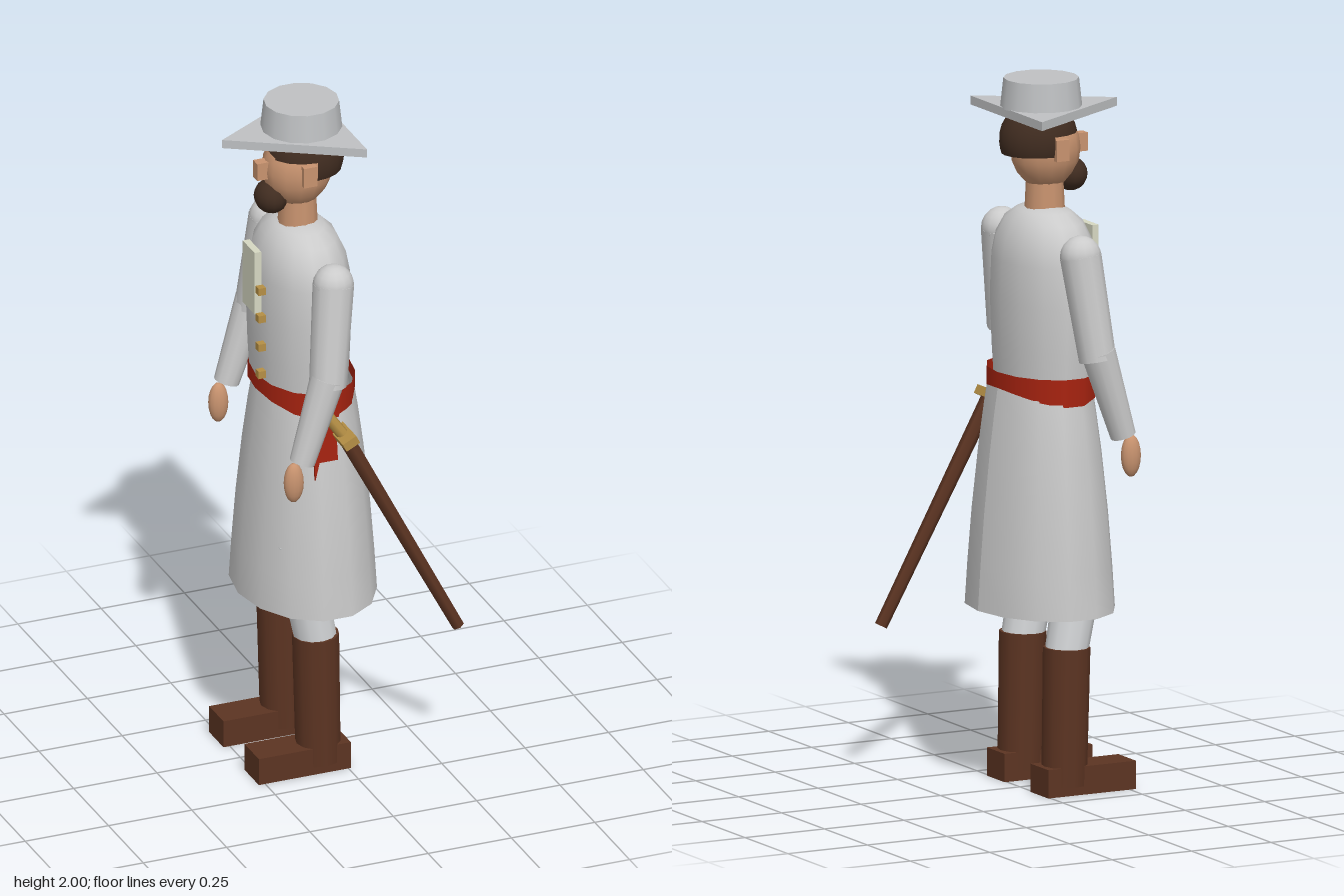
import * as THREE from 'three';

const mat = (name, color) => {
  const m = new THREE.MeshStandardMaterial({ color });
  m.name = name;
  return m;
};

export function createModel() {
  const coat = mat('coat grey', 0xcbcbcb);
  const hatGrey = mat('hat grey', 0xbfc1c3);
  const cloth = mat('trouser grey', 0xd6d8da);
  const skin = mat('skin', 0xc8936f);
  const hairBrown = mat('hair brown', 0x402c20);
  const leather = mat('boot leather', 0x5c3422);
  const red = mat('sash red', 0xa82310);
  const gold = mat('brass', 0xb58f45);
  const cream = mat('cream', 0xd6d8c2);
  // Open shells show their inner faces too
  for (const m of [coat, red, hairBrown]) m.side = THREE.DoubleSide;

  const model = new THREE.Group();
  model.name = 'figure';
  const V = (x, y, z) => new THREE.Vector3(x, y, z);

  const add = (name, geo, material, x = 0, y = 0, z = 0, sx = 1, sy = 1, sz = 1) => {
    const mesh = new THREE.Mesh(geo, material);
    mesh.name = name;
    mesh.position.set(x, y, z);
    mesh.scale.set(sx, sy, sz);
    model.add(mesh);
    return mesh;
  };
  const box = (name, material, x, y, z, w, h, d) =>
    add(name, new THREE.BoxGeometry(w, h, d), material, x, y, z);
  const ball = (name, material, x, y, z, rx, ry, rz) =>
    add(name, new THREE.SphereGeometry(1, 14, 10), material, x, y, z, rx, ry, rz);
  // Tapered cylinder from point a (radius ra) to point b (radius rb)
  const limb = (name, material, a, b, ra, rb, sides = 12) => {
    const dir = b.clone().sub(a);
    const mesh = add(name, new THREE.CylinderGeometry(rb, ra, dir.length(), sides), material);
    mesh.position.copy(a).add(b).multiplyScalar(0.5);
    mesh.quaternion.setFromUnitVectors(V(0, 1, 0), dir.normalize());
    return mesh;
  };
  // Oval body of revolution; profile rows are [radius across z, y], bottom to top
  const oval = (name, material, profile, x, depth) =>
    add(name, new THREE.LatheGeometry(profile.map(p => new THREE.Vector2(...p)), 14, Math.PI / 2),
      material, x, 0, 0, depth, 1, 1);

  // Coat: upper body and open flared skirt
  oval('coatBody', coat, [[0.187, 1.15], [0.195, 1.25], [0.201, 1.38], [0.195, 1.49],
    [0.179, 1.55], [0.145, 1.6], [0.1, 1.628], [0.05, 1.64], [0, 1.64]], -0.075, 0.675);
  const skirt = oval('coatSkirt', coat, [[0.261, 0.51], [0.254, 0.63], [0.242, 0.78],
    [0.222, 0.95], [0.203, 1.07], [0.187, 1.15]], -0.0625, 1);
  const sp = skirt.geometry.attributes.position;
  for (let i = 0; i < sp.count; i++) {
    // The front-to-back depth narrows faster than the width
    const t = (sp.getY(i) - 0.51) / 0.64;
    sp.setX(i, sp.getX(i) * (0.745 - 0.05 * t));
  }
  skirt.geometry.computeVertexNormals();

  // Sash band, its lower edge dipping at the hips
  const sash = oval('sash', red, [[0.198, 1.1], [0.198, 1.18]], -0.067, 0.7);
  const bp = sash.geometry.attributes.position;
  for (let i = 0; i < bp.count; i++) {
    if (bp.getY(i) < 1.15) bp.setY(i, 1.1 + 0.035 * (bp.getX(i) / 0.198) ** 2);
  }
  // Hanging sash end, lying against the skirt
  const tail = new THREE.Shape([[-0.12, 1.15], [-0.12, 0.935], [-0.105, 0.985], [-0.05, 0.985],
    [-0.05, 1.15]].map(p => new THREE.Vector2(...p)));
  const tailGeo = new THREE.ExtrudeGeometry(tail, { depth: 0.008, bevelEnabled: false });
  const tp = tailGeo.attributes.position;
  for (let i = 0; i < tp.count; i++) tp.setZ(i, tp.getZ(i) + 0.194 + (1.15 - tp.getY(i)) * 0.125);
  add('sashEnd', tailGeo, red);

  // Chest panel and row of buttons
  box('chestPanel', cream, -0.215, 1.48, 0, 0.02, 0.19, 0.085);
  for (const y of [1.47, 1.385, 1.297, 1.213]) box('button', gold, -0.217, y, 0.068, 0.022, 0.022, 0.022);

  // Arms and legs, mirrored
  for (const s of [1, -1]) {
    const side = s > 0 ? 'left' : 'right';
    const shoulder = V(-0.067, 1.535, s * 0.23);
    const elbow = V(-0.1, 1.245, s * 0.268);
    ball(side + 'Shoulder', coat, shoulder.x, shoulder.y, shoulder.z, 0.058, 0.058, 0.056);
    limb(side + 'UpperArm', coat, elbow, shoulder, 0.052, 0.058);
    limb(side + 'Forearm', coat, V(-0.178, 1.025, s * 0.272), V(-0.1, 1.27, s * 0.27), 0.036, 0.049);
    ball(side + 'Hand', skin, -0.203, 0.966, s * 0.271, 0.029, 0.06, 0.023);

    limb(side + 'Knee', cloth, V(-0.078, 0.4, s * 0.127), V(-0.106, 0.55, s * 0.125), 0.06, 0.064);
    limb(side + 'Thigh', cloth, V(-0.1, 0.52, s * 0.125), V(-0.135, 0.72, s * 0.122), 0.066, 0.073);
    limb(side + 'BootShaft', leather, V(-0.07, 0.025, s * 0.128), V(-0.078, 0.412, s * 0.128), 0.063, 0.066);
    box(side + 'Foot', leather, -0.131, 0.04, s * 0.127, 0.276, 0.08, 0.103);
  }

  // Head
  limb('neck', skin, V(-0.078, 1.61, 0), V(-0.078, 1.75, 0), 0.057, 0.05);
  ball('head', skin, -0.08, 1.8, 0, 0.1, 0.115, 0.09);
  box('nose', skin, -0.188, 1.807, 0, 0.035, 0.052, 0.03);
  for (const s of [1, -1]) box('ear', skin, -0.081, 1.808, s * 0.09, 0.04, 0.06, 0.024);
  ball('beard', hairBrown, -0.158, 1.72, 0, 0.047, 0.048, 0.054);
  add('hairTop', new THREE.SphereGeometry(1, 16, 6, 0, Math.PI * 2, 0, 1.4), hairBrown,
    -0.058, 1.828, 0, 0.112, 0.112, 0.1);
  add('hairBack', new THREE.SphereGeometry(1, 10, 5, Math.PI / 2, Math.PI, 1.2, 0.72), hairBrown,
    -0.058, 1.828, 0, 0.112, 0.112, 0.1);

  // Hat: three-cornered brim and low crown
  const brim = new THREE.CylinderGeometry(1, 1, 0.025, 3, 1, false, -Math.PI / 2).toNonIndexed();
  brim.computeVertexNormals();
  add('hatBrim', brim, hatGrey, -0.073, 1.908, 0, 0.232, 1, 0.241);
  add('hatCrown', new THREE.CylinderGeometry(0.105, 0.114, 0.082, 14, 1, false, Math.PI / 2),
    hatGrey, -0.067, 1.959, 0);

  // Sword in its scabbard, hung at the left hip
  const guardAt = V(-0.037, 1.062, 0.239);
  const tip = V(0.287, 0.433, 0.278);
  limb('scabbard', leather, tip, guardAt, 0.018, 0.023, 6);
  limb('swordGrip', gold, guardAt, V(-0.118, 1.178, 0.218), 0.017, 0.017, 8);
  const guard = box('swordGuard', gold, guardAt.x, guardAt.y, guardAt.z, 0.045, 0.026, 0.1);
  guard.rotation.z = Math.atan2(0.322, 0.632);

  return model;
}
